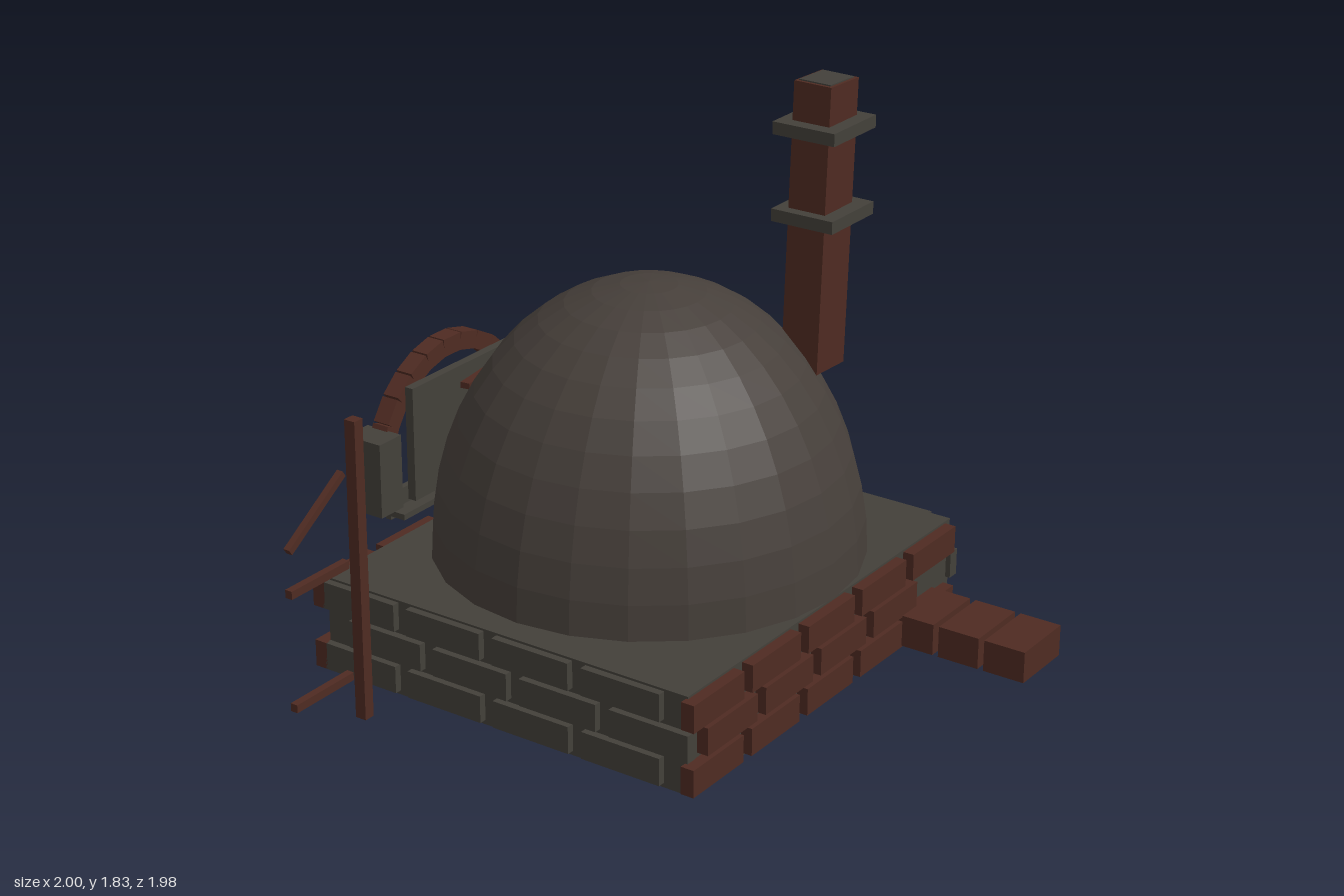
import * as THREE from 'three';

const brick = new THREE.MeshStandardMaterial({ color: 0x4f2b22 });
brick.name = 'brick red';
const stone = new THREE.MeshStandardMaterial({ color: 0x43403a });
stone.name = 'stone grey';
const clay = new THREE.MeshStandardMaterial({ color: 0x463f3a, flatShading: true, side: THREE.DoubleSide });
clay.name = 'clay';

const RAD = Math.PI / 180;

// Box given by its extents on each axis
function box(name, mat, x0, x1, y0, y1, z0, z1) {
  const m = new THREE.Mesh(new THREE.BoxGeometry(x1 - x0, y1 - y0, z1 - z0), mat);
  m.position.set((x0 + x1) / 2, (y0 + y1) / 2, (z0 + z1) / 2);
  m.name = name;
  return m;
}

// Square bar between two points
function bar(name, mat, a, b, w, h) {
  const m = new THREE.Mesh(new THREE.BoxGeometry(w, h, a.distanceTo(b)), mat);
  m.position.copy(a).add(b).multiplyScalar(0.5);
  m.lookAt(b);
  m.name = name;
  return m;
}

// Plinth core with three courses of bricks on every side
function makeBase() {
  const g = new THREE.Group();
  g.name = 'base';
  g.add(box('plinth', stone, -0.505, 0.975, 0, 0.322, -0.83, 0.517));
  for (let row = 0; row < 3; row++) {
    const y0 = 0.015 + row * 0.105, y1 = y0 + 0.09, mid = row === 1;
    for (let i = 0; i < (mid ? 4 : 5); i++) {
      const x = (mid ? -0.457 : -0.53) + i * 0.304;
      g.add(box('frontBrick', brick, x, x + 0.26, y0, y1, 0.51, 0.555));
      g.add(box('backBrick', brick, x, x + 0.26, y0, y1, -0.87, -0.825));
    }
    for (let i = 0; i < 4; i++) {
      const z = (mid ? -0.73 : -0.83) + i * 0.328;
      g.add(box('sideBrick', stone, 0.96, 1.0, y0, y1, z, z + 0.28));
      g.add(box('sideBrick', stone, -0.53, -0.49, y0, y1, z, z + 0.28));
    }
  }
  return g;
}

// Faceted dome with one square vent left open low on its side
function makeDome() {
  const g = new THREE.Group();
  g.name = 'dome';
  const shell = new THREE.Mesh(
    new THREE.SphereGeometry(1, 23, 12, 165 * RAD, 345 * RAD, 0, 90 * RAD), clay);
  shell.name = 'domeShell';
  const aboveVent = new THREE.Mesh(
    new THREE.SphereGeometry(1, 1, 10, 150 * RAD, 15 * RAD, 0, 75 * RAD), clay);
  aboveVent.name = 'domeAboveVent';
  g.add(shell, aboveVent);
  g.scale.set(0.683, 0.875, 0.683);
  g.position.set(0.23, 0.345, -0.138);
  return g;
}

// Bent brick ledges following the back of the dome
function makeLedge(radius, y) {
  const g = new THREE.Group();
  g.name = 'ledge';
  const at = (a) => new THREE.Vector3(
    0.23 + radius * Math.sin(a * RAD), y, -0.138 - radius * Math.cos(a * RAD));
  for (let a = -15; a < 30; a += 15) g.add(bar('ledgeBrick', brick, at(a), at(a + 15), 0.032, 0.02));
  return g;
}

// Leaning square chimney with two level collars
function makeChimney() {
  const g = new THREE.Group();
  g.name = 'chimney';
  const shape = new THREE.BoxGeometry(0.155, 0.91, 0.13);
  const stack = new THREE.Mesh(shape, brick);
  stack.name = 'chimneyStack';
  const cap = box('chimneyCap', stone, -0.066, 0.066, 0.45, 0.459, -0.055, 0.055);
  const lean = new THREE.Group();
  lean.name = 'leaningStack';
  lean.add(stack, cap);
  lean.position.set(0.607, 1.37, 0.228);
  lean.rotation.set(0.01, 0, -0.033);
  g.add(lean);
  for (const y of [1.39, 1.665]) g.add(box('collar', stone, 0.495, 0.73, y, y + 0.04, 0.125, 0.343));
  return g;
}

// Oven mouth: door, pillars, brick arch and shelf
function makeMouth() {
  const g = new THREE.Group();
  g.name = 'ovenMouth';
  g.add(box('door', stone, -0.06, 0.475, 0.41, 0.795, -0.87, -0.84));
  g.add(box('pillar', stone, -0.225, -0.12, 0.41, 0.66, -0.978, -0.842));
  g.add(box('pillar', stone, 0.535, 0.64, 0.41, 0.66, -0.978, -0.842));
  g.add(box('shelf', stone, -0.06, 0.475, 0.328, 0.348, -0.99, -0.89));
  g.add(box('shelfLip', stone, -0.06, 0.475, 0.315, 0.405, -0.966, -0.945));
  const n = 13, r = 0.34;
  for (let i = 0; i < n; i++) {
    const a = ((i + 0.5) / n) * Math.PI;
    const b = new THREE.Mesh(new THREE.BoxGeometry(0.06, 0.083, 0.06), brick);
    b.position.set(0.208 + r * Math.cos(a), 0.505 + r * Math.sin(a), -0.922);
    b.rotation.z = a;
    b.name = 'archBrick';
    g.add(b);
  }
  return g;
}

// Tool rack: post with two level pegs and a slanted one
function makeRack() {
  const g = new THREE.Group();
  g.name = 'toolRack';
  g.add(box('post', brick, -0.765, -0.728, 0.05, 1.02, -0.51, -0.472));
  for (const y of [0.16, 0.53]) g.add(box('peg', brick, -1, -0.745, y, y + 0.026, -0.555, -0.53));
  g.add(bar('slantedPeg', brick, new THREE.Vector3(-0.995, 0.678, -0.542),
    new THREE.Vector3(-0.75, 0.838, -0.542), 0.022, 0.022));
  return g;
}

export function createModel() {
  const model = new THREE.Group();
  model.name = 'brickOven';
  model.add(makeBase(), makeDome(), makeLedge(0.7, 0.462), makeLedge(0.617, 0.788),
    makeChimney(), makeMouth(), makeRack());
  // Path of loose bricks in front
  for (let i = 0; i < 3; i++) {
    const z = 0.525 + i * 0.162;
    model.add(box('pathBrick', brick, 0.63, 0.86, 0.02, 0.125, z, z + 0.142));
  }
  return model;
}
